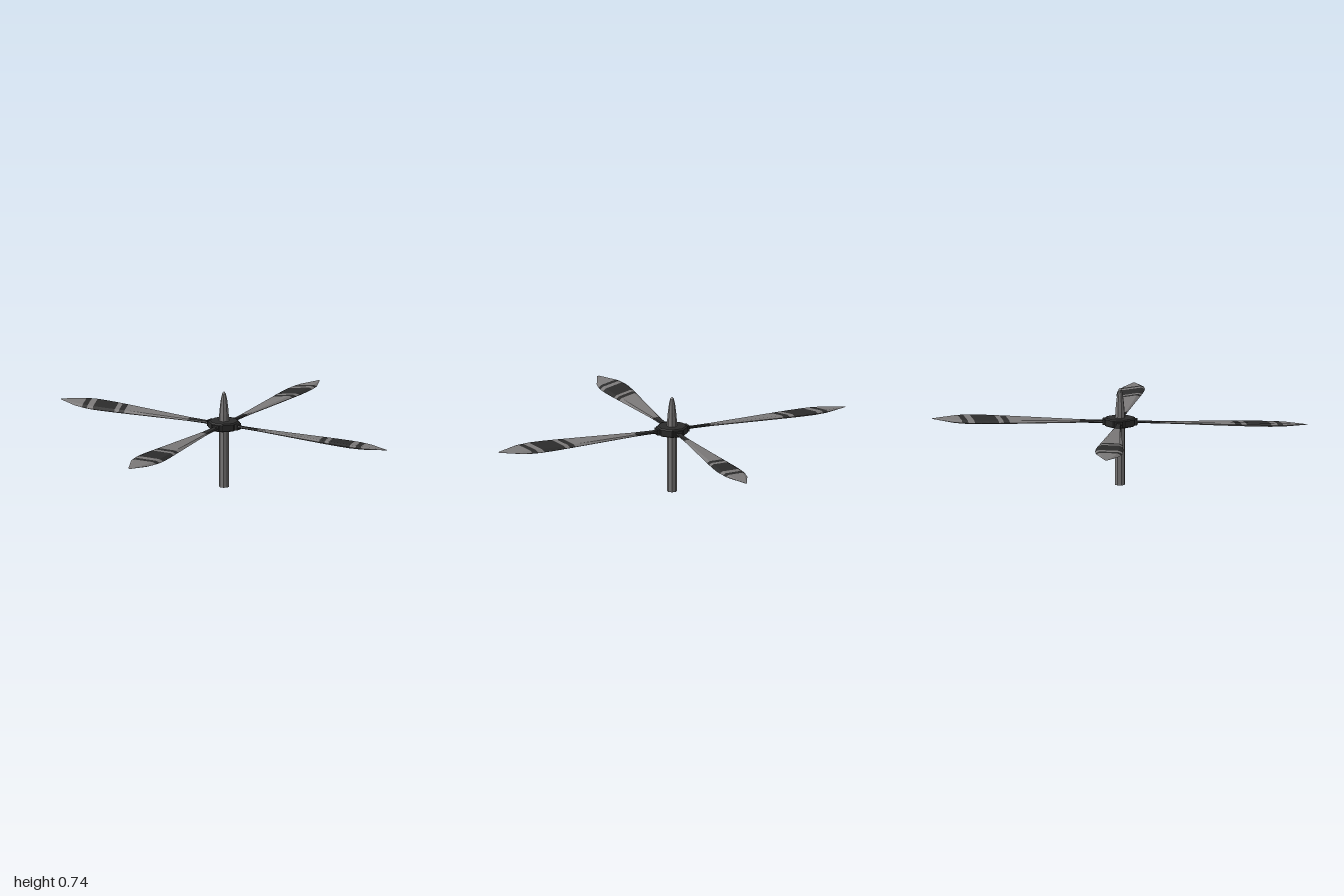
import * as THREE from 'three';

const HUB_Y = 0.48;
const PITCH = Math.tan(0.095);
const SLANT = 0.32;

const grey = new THREE.MeshStandardMaterial({ color: 0x7b7979 });
grey.name = 'blade grey';
const dark = new THREE.MeshStandardMaterial({ color: 0x2c2c2c });
dark.name = 'dark paint';

// Blade half width and half thickness along the radius
const PROFILE = [
  [0.09, 0.022, 0.012], [0.16, 0.02, 0.008], [0.30, 0.03, 0.007], [0.84, 0.084, 0.013],
  [1.0, 0.1, 0.014], [1.12, 0.104, 0.014], [1.225, 0.088, 0.012], [1.406, 0.008, 0],
];
function profile(r, k) {
  let i = 0;
  while (i < PROFILE.length - 2 && r > PROFILE[i + 1][0]) i++;
  const a = PROFILE[i], b = PROFILE[i + 1];
  return THREE.MathUtils.lerp(a[k], b[k], (r - a[0]) / (b[0] - a[0]));
}

// Stations along the blade: radius, and whether the stretch after it is dark on top
const STATIONS = [
  [0.09, 1], [0.16, 1], [0.30, 0], [0.80, 0],
  [0.842, 1], [0.888, 0], [0.925, 1], [1.0, 1], [1.06, 1], [1.108, 0],
  [1.157, 1], [1.2, 0], [1.24, 0], [1.406, 0],
];

// One slanted cross-section, side = 1 for the upper skin, -1 for the lower
function section(r0, side) {
  const slant = r0 > 0.83 && r0 < 1.21 ? SLANT : 0;
  return [1, 0.72, -0.72, -1].map((s) => {
    let w = profile(r0, 1) * s;
    for (let n = 0; n < 4; n++) w = profile(r0 + slant * w, 1) * s;
    const r = r0 + slant * w;
    const h = Math.abs(s) < 1 ? profile(r, 2) : 0;
    return new THREE.Vector3(r, side * h + w * PITCH, w);
  });
}

function skin(out, r0, r1, side) {
  const a = section(r0, side), b = section(r1, side);
  for (let j = 0; j < 3; j++) {
    const quad = [a[j], b[j], a[j + 1], b[j], b[j + 1], a[j + 1]];
    if (side < 0) quad.reverse();
    quad.forEach((p) => out.push(p.x, p.y, p.z));
  }
}

function geometryFrom(points) {
  const g = new THREE.BufferGeometry();
  g.setAttribute('position', new THREE.Float32BufferAttribute(points, 3));
  g.computeVertexNormals();
  return g;
}

function mesh(name, geometry, material, parent) {
  const m = new THREE.Mesh(geometry, material);
  m.name = name;
  parent.add(m);
  return m;
}

// Flat-sided turned part from [radius, height] points
function turned(points, sides) {
  const g = new THREE.LatheGeometry(points.map(([x, y]) => new THREE.Vector2(x, y)), sides).toNonIndexed();
  g.rotateY(Math.PI / sides);
  g.computeVertexNormals();
  return g;
}

export function createModel() {
  const model = new THREE.Group();
  model.name = 'propeller';

  // Shaft and spinner
  mesh('shaft', turned([[0, 0], [0.038, 0], [0.038, 0.46]], 8), grey, model);
  mesh('spinner', turned([[0.038, 0.5], [0.036, 0.56], [0.031, 0.62], [0.023, 0.68], [0.013, 0.722], [0, 0.737]], 8), grey, model);

  // Octagonal hub with chamfered rims
  const R = 0.11 / Math.cos(Math.PI / 8);
  mesh('hub', turned([[0, 0.449], [R - 0.012, 0.449], [R, 0.457], [R, 0.503], [R - 0.012, 0.511], [0, 0.511]], 8), dark, model);

  // Blade skins, split by colour
  const root = [], paint = [], body = [];
  for (let i = 0; i < STATIONS.length - 1; i++) {
    const [r0, isDark] = STATIONS[i], r1 = STATIONS[i + 1][0];
    const isRoot = r0 < 0.3;
    skin(isRoot ? root : isDark ? paint : body, r0, r1, 1);
    skin(isRoot ? root : body, r0, r1, -1);
  }
  const rootGeo = geometryFrom(root), paintGeo = geometryFrom(paint), bodyGeo = geometryFrom(body);
  const socketGeo = new THREE.BoxGeometry(0.06, 0.046, 0.06);

  // Four blades on the diagonals
  for (let k = 0; k < 4; k++) {
    const blade = new THREE.Group();
    blade.name = 'blade' + (k + 1);
    blade.position.y = HUB_Y;
    blade.rotation.y = Math.PI / 4 + k * Math.PI / 2;
    mesh('bladeSocket', socketGeo, dark, blade).position.x = 0.1;
    mesh('bladeRoot', rootGeo, dark, blade);
    mesh('bladeStripes', paintGeo, dark, blade);
    mesh('bladeBody', bodyGeo, grey, blade);
    model.add(blade);
  }
  return model;
}
